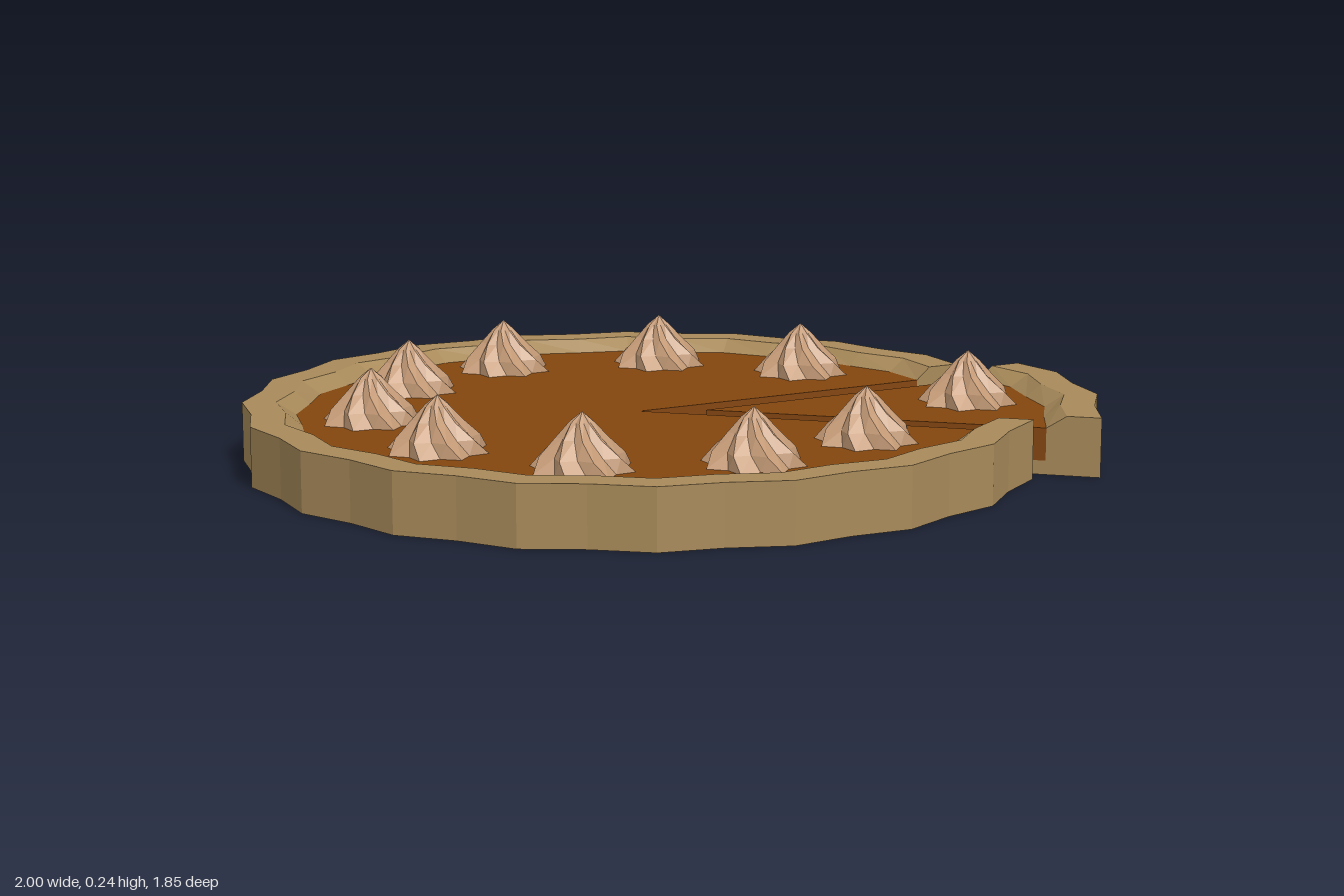
import * as THREE from 'three';

const CRUST = 0xa88a5a, FILLING = 0x84460f, CREAM = 0xc49a76;
const STEP = Math.PI / 20; // 40 scalloped segments per turn

function flatMesh(name, points, color) {
  const geo = new THREE.BufferGeometry().setFromPoints(points);
  geo.computeVertexNormals();
  const mesh = new THREE.Mesh(geo, new THREE.MeshStandardMaterial({ color, flatShading: true }));
  mesh.name = name;
  return mesh;
}

// Sweep a closed cross-section from segment k0 to k1 and cap both cut ends
function sweep(name, section, k0, k1, color) {
  const tris = [];
  const ring = k => section(k % 2 !== 0).map(([r, y]) =>
    new THREE.Vector3(r * Math.cos(k * STEP), y, r * Math.sin(k * STEP)));
  const n = section(false).length;
  for (let k = k0; k < k1; k++) {
    const a = ring(k), b = ring(k + 1);
    for (let i = 0; i < n; i++) {
      const j = (i + 1) % n;
      if (a[i].x === 0 && a[j].x === 0) continue; // edge on the pie's axis
      tris.push(a[i], a[j], b[j], a[i], b[j], b[i]);
    }
  }
  for (const k of [k0, k1]) {
    const pts = ring(k);
    const outline = section(k % 2 !== 0).map(p => new THREE.Vector2(...p));
    for (const [a, b, c] of THREE.ShapeUtils.triangulateShape(outline, [])) {
      if (k === k1) tris.push(pts[a], pts[b], pts[c]);
      else tris.push(pts[a], pts[c], pts[b]);
    }
  }
  return flatMesh(name, tris, color);
}

// Crust: floor, upright rim, flat lip and a bevel down to the filling
const crustSection = odd => {
  const R = odd ? 0.937 : 0.914, f = odd ? 0.81 : 0.797;
  return [[0, 0], [R, 0], [R, 0.14], [R - 0.08, 0.14], [f, 0.11], [f, 0.033], [0, 0.033]];
};
const fillingSection = odd => {
  const f = odd ? 0.81 : 0.797;
  return [[0, 0.033], [f, 0.033], [f, 0.11], [0, 0.11]];
};

// Piped cream: twisted eight-pointed star narrowing to a peak
function creamSwirl(x, z) {
  const profile = [[0.12, 0.11], [0.096, 0.143], [0.058, 0.18], [0.028, 0.214], [0, 0.237]];
  const rings = profile.map(([r, y], j) => Array.from({ length: 16 }, (_, i) => {
    const a = i * Math.PI / 8 + j * 0.24, s = i % 2 ? r * 0.78 : r;
    return new THREE.Vector3(s * Math.cos(a), y, s * Math.sin(a));
  }));
  const tris = [];
  for (let j = 0; j < rings.length - 1; j++) {
    for (let i = 0; i < 16; i++) {
      const n = (i + 1) % 16, lo = rings[j], hi = rings[j + 1];
      tris.push(lo[i], hi[i], lo[n]);
      if (j < rings.length - 2) tris.push(hi[i], hi[n], lo[n]);
    }
  }
  const mesh = flatMesh('creamSwirl', tris, CREAM);
  mesh.position.set(x, 0, z);
  return mesh;
}

function piePart(name, k0, k1, x, z, swirls) {
  const part = new THREE.Group();
  part.name = name;
  part.add(sweep('crust', crustSection, k0, k1, CRUST));
  part.add(sweep('filling', fillingSection, k0, k1, FILLING));
  for (const [sx, sz] of swirls) part.add(creamSwirl(sx, sz));
  part.position.set(x, 0, z);
  return part;
}

export function createModel() {
  const pie = new THREE.Group();
  pie.name = 'pie';
  // Main pie with a one-eighth wedge missing
  pie.add(piePart('mainPie', 5, 40, -0.075, 0, [
    [0.278, 0.55], [-0.065, 0.626], [-0.415, 0.49], [-0.605, 0.165], [-0.6, -0.205],
    [-0.365, -0.505], [-0.035, -0.647], [0.348, -0.52], [0.597, -0.232],
  ]));
  // Cut slice pulled outward
  pie.add(piePart('slice', 0, 5, 0.07, 0.065, [[0.595, 0.229]]));
  return pie;
}
